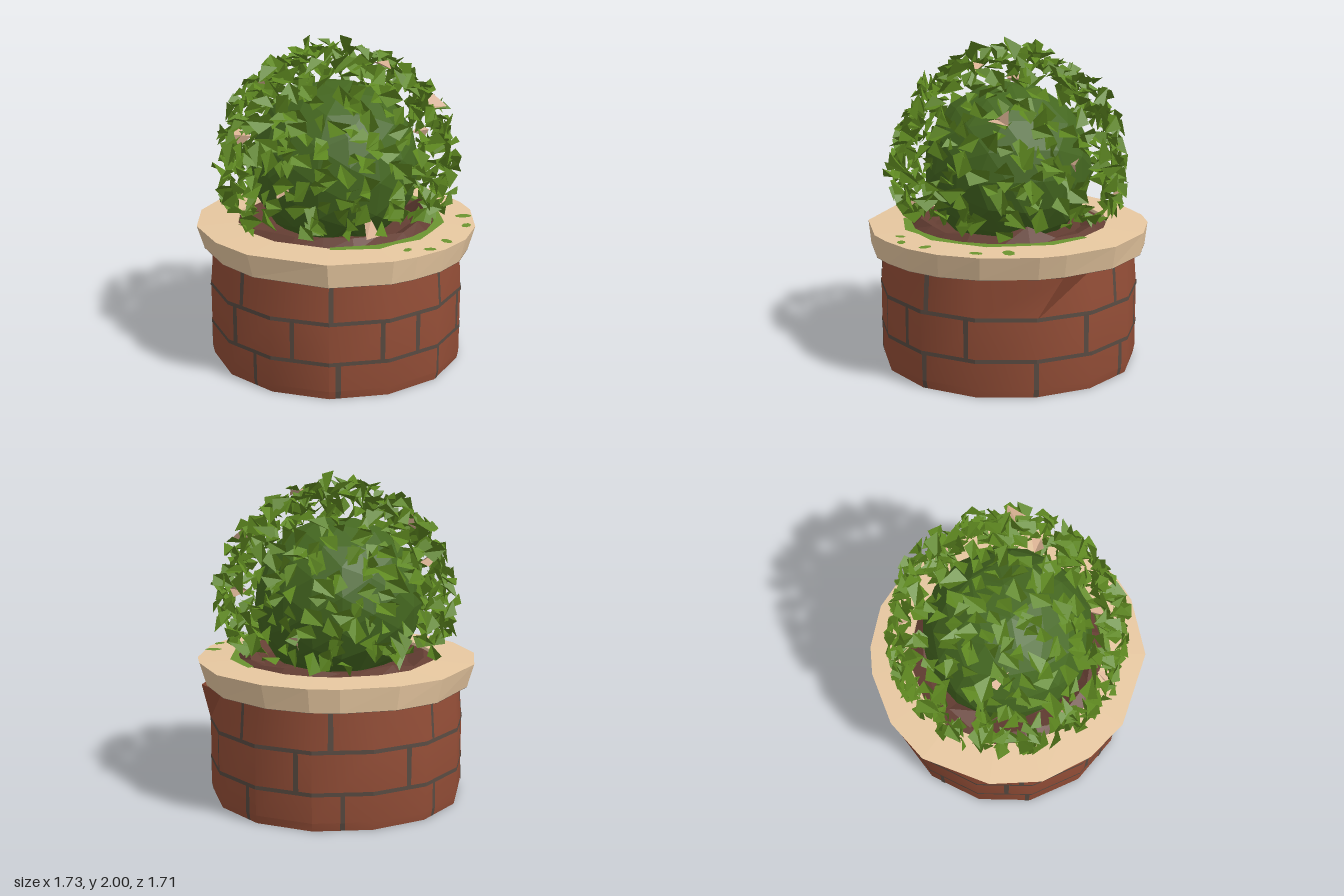
import * as THREE from 'three';
import { toCreasedNormals } from 'three/addons/utils/BufferGeometryUtils.js';

const mat = (name, color, side = THREE.FrontSide) => {
  const m = new THREE.MeshStandardMaterial({ color, side });
  m.name = name;
  return m;
};

// Small seeded random generator, 0..1
function seeded(s) {
  return () => {
    s = (s * 16807) % 2147483647;
    return s / 2147483647;
  };
}

// Faceted skin through rings of [x, y, z] points
function loft(rings, closed = true) {
  const pos = [], n = rings[0].length;
  for (let k = 0; k < rings.length - 1; k++) {
    for (let i = 0; i < (closed ? n : n - 1); i++) {
      const j = (i + 1) % n;
      const a = rings[k][i], b = rings[k][j], c = rings[k + 1][i], d = rings[k + 1][j];
      pos.push(...a, ...c, ...b, ...b, ...c, ...d);
    }
  }
  return facets(pos);
}

function facets(pos) {
  const g = new THREE.BufferGeometry();
  g.setAttribute('position', new THREE.Float32BufferAttribute(pos, 3));
  g.computeVertexNormals();
  return g;
}

export function createModel() {
  const model = new THREE.Group();
  const brick = mat('brick red', 0x944e37, THREE.DoubleSide);
  const mortar = mat('mortar grey', 0x594b42, THREE.DoubleSide);
  const stone = mat('sandstone', 0xeacaa2);
  const soil = mat('soil brown', 0x643e33, THREE.DoubleSide);
  const moss = mat('moss green', 0x6b9430, THREE.DoubleSide);
  const bush = mat('deep green', 0x446720);
  const leaf = mat('leaf green', 0x5e8820, THREE.DoubleSide);
  const dry = mat('dry leaf', 0xd8b092, THREE.DoubleSide);
  const add = (name, geo, m, parent = model) => {
    const mesh = new THREE.Mesh(geo, m);
    mesh.name = name;
    parent.add(mesh);
    return mesh;
  };

  // Brick pot: an uneven fourteen-sided drum, one top corner leaning out
  const rnd = seeded(71), N = 14;
  const wobble = Array.from({ length: N }, () => 0.99 + rnd() * 0.02);
  const radiusAt = y => y < 0.05 ? 0.785 + y * 0.2 : y < 0.47 ? 0.795 : 0.795 - (y - 0.47) * 0.08;
  const corner = (i, y, s = 1) => {
    const k = ((i % N) + N) % N, a = k / N * Math.PI * 2;
    const r = radiusAt(y) * wobble[k] * s;
    return [r * Math.cos(a), y, r * Math.sin(a)];
  };
  const wallRing = (y, s = 1) => Array.from({ length: N }, (_, i) => corner(i, y, s));
  const wallPoint = (deg, y, s) => {
    const t = deg / 360 * N, i = Math.floor(t), f = t - i;
    const a = corner(i, y, s), b = corner(i + 1, y, s);
    return a.map((v, k) => v + (b[k] - v) * f);
  };
  const pot = new THREE.Group();
  pot.name = 'pot';
  model.add(pot);
  const wallTop = wallRing(0.72);
  wallTop[0] = [0.83, 0.72, -0.14];
  const wall = loft([wallRing(0), wallRing(0.05), wallRing(0.47), wallTop]);
  add('potWall', toCreasedNormals(wall, 0.5), brick, pot);
  const centre = Array.from({ length: N }, () => [0, 0, 0]);
  add('potBase', loft([centre, wallRing(0)]), brick, pot);

  // Mortar courses and upright joints, laid thinly on the wall
  for (const y of [0.222, 0.472]) {
    add('mortarCourse', loft([wallRing(y - 0.012, 1.005), wallRing(y + 0.012, 1.005)]), mortar, pot);
  }
  const courses = [
    { ys: [0.003, 0.05, 0.22], joints: [0, 50, 99, 138, 182, 225, 270, 314] },
    { ys: [0.23, 0.47], joints: [30, 62, 80, 119, 150, 192, 240, 290, 337] },
    { ys: [0.475, 0.7], joints: [49, 102, 146, 185, 226, 275, 318] },
  ];
  for (const { ys, joints } of courses) {
    for (const d of joints) {
      const edge = y => {
        const half = 0.85 + rnd() * 0.4;
        return [wallPoint(d - half, y, 1.005), wallPoint(d + half, y, 1.005)];
      };
      add('mortarJoint', loft(ys.map(edge), false), mortar, pot);
    }
  }

  // Stone rim with a rough-cut outline
  const outline = [[0.02, -0.86], [0.2, -0.84], [0.46, -0.73], [0.72, -0.48], [0.84, -0.16], [0.86, 0],
    [0.8, 0.33], [0.68, 0.55], [0.52, 0.7], [0.33, 0.8], [0.18, 0.85], [-0.2, 0.85], [-0.62, 0.6],
    [-0.78, 0.36], [-0.87, 0.04], [-0.82, -0.28], [-0.58, -0.65], [-0.32, -0.8]];
  const rimRing = (y, sx, sz = sx) => outline.map(([x, z]) => [x * sx, y, z * sz]);
  add('rim', loft([rimRing(0.72, 0.95, 0.985), rimRing(0.86, 1), rimRing(0.87, 0.71), rimRing(0.8, 0.7)]), stone);
  add('rimUnderside', loft([rimRing(0.7, 0.87), rimRing(0.718, 0.95, 0.985)]), mortar);

  // Ragged soil bank around the foot of the bush
  const soilRing = (r, y, jag) => Array.from({ length: 20 }, (_, i) => {
    const a = i / 20 * Math.PI * 2, q = r * (0.97 + rnd() * 0.06);
    return [q * Math.cos(a), y + (rnd() - 0.5) * jag, q * Math.sin(a)];
  });
  const soilTop = soilRing(0.54, 0.885, 0.05);
  soilTop[0][1] = 0.96;
  add('soil', loft([soilRing(0.62, 0.84, 0), soilTop, soilRing(0.45, 0.85, 0.03),
    Array.from({ length: 20 }, () => [0, 0.85, 0])]), soil);

  // Moss creeping along the inner edge of the rim, with patches on top
  const mossEdge = (s, y, wave) => outline.slice(3, 12)
    .map(([x, z], i) => [x * (s + wave * (i % 2)), y, z * (s + wave * (i % 2))]);
  add('mossEdge', loft([mossEdge(0.75, 0.873, 0.03), mossEdge(0.705, 0.875, 0), mossEdge(0.69, 0.81, 0)], false), moss);
  const patches = [[0.77, 0.16, 0.045], [0.74, 0.34, 0.035], [0.55, 0.6, 0.035], [0.42, 0.72, 0.032], [0.29, 0.71, 0.028]];
  patches.forEach(([x, z, r], i) => {
    const p = add('mossPatch', new THREE.CircleGeometry(r, 7), moss);
    p.rotation.set(-Math.PI / 2, 0, i);
    p.scale.set(1.2, 0.8, 1);
    p.position.set(x, 0.874, z);
  });

  // Dense faceted heart of the bush
  const ball = new THREE.IcosahedronGeometry(0.52, 2);
  ball.computeVertexNormals();
  add('bushCore', ball, bush).position.set(-0.01, 1.21, 0);

  // Loose shell of folded leaves
  const green = [], brown = [];
  const count = 490, golden = Math.PI * (3 - Math.sqrt(5));
  const o = new THREE.Object3D(), v = new THREE.Vector3();
  for (let i = 0; i < count; i++) {
    const h = 1 - (i + 0.5) / count * 1.4;
    const a = i * golden + (rnd() - 0.5) * 0.4;
    const r = 0.64 + rnd() * 0.09, w = Math.sqrt(1 - h * h);
    o.position.set(r * w * Math.cos(a), 1.22 + r * h, r * w * Math.sin(a));
    o.lookAt(o.position.x * 2, 1.22 + r * h * 2, o.position.z * 2);
    o.rotateZ(rnd() * Math.PI * 2);
    o.rotateX((rnd() - 0.5) * 2.2);
    o.rotateY((rnd() - 0.5) * 1.5);
    o.updateMatrix();
    const s = 0.046 + rnd() * 0.032;
    // stem, left edge, tip, right edge; folded along the midrib
    const pts = [[0, -1, 0], [-0.85, 0.1 + rnd() * 0.4, 0.45], [0.1, 1.2, -0.1], [0.8, -0.15 - rnd() * 0.4, 0.5]]
      .map(p => v.set(...p).multiplyScalar(s).applyMatrix4(o.matrix).toArray());
    (i % 64 === 37 ? brown : green).push(...[0, 2, 1, 0, 3, 2].flatMap(k => pts[k]));
  }
  add('leaves', facets(green), leaf);
  add('dryLeaves', facets(brown), dry);

  return model;
}
